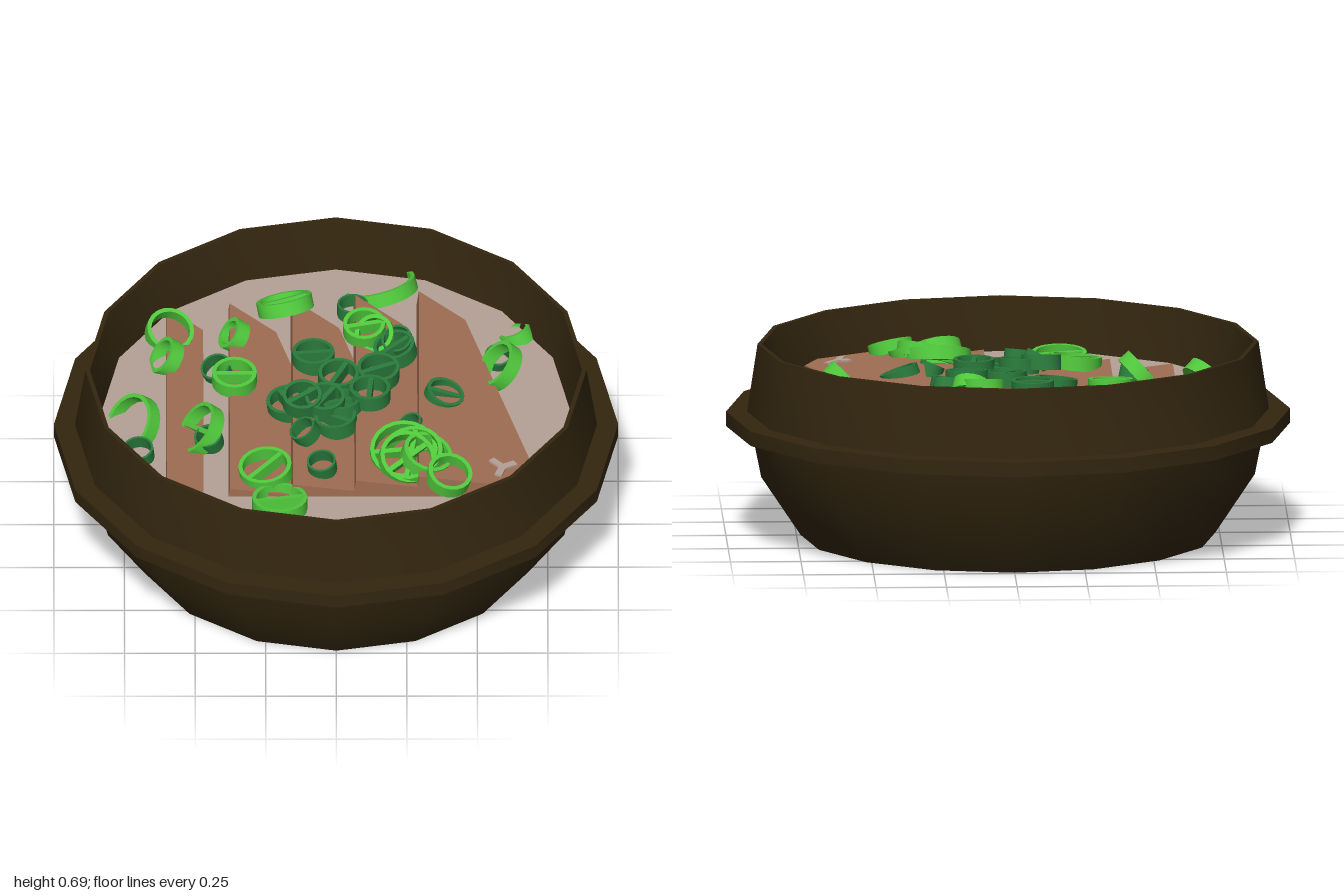
import * as THREE from 'three';
import { toCreasedNormals } from 'three/addons/utils/BufferGeometryUtils.js';

const mat = (name, color) => {
  const m = new THREE.MeshStandardMaterial({ color });
  m.name = name;
  return m;
};

const SOUP_Y = 0.5, SLICE_STEP = 0.2235, SLICE_X = -0.6, TILT = 0.13;
const sliceTop = (k) => 0.517 + 0.018 * k;

// height of the food surface below a garnish
function surface(x, z) {
  const k = Math.min(4, Math.floor((x - SLICE_X) / SLICE_STEP));
  if (k < 0 || Math.abs(z + 0.03) > 0.52) return SOUP_Y;
  const dx = x - SLICE_X - k * SLICE_STEP;
  if (dx > 0.34 + 0.28 * z) return SOUP_Y;
  return sliceTop(k) - dx * Math.tan(TILT);
}

export function createModel() {
  const model = new THREE.Group();
  const brown = mat('dark brown glaze', 0x33260f);
  const broth = mat('creamy broth', 0xb5a197);
  const meat = mat('roast meat', 0x9f6d52);
  const light = mat('light green', 0x50c83c);
  const dark = mat('dark green', 0x2a7a3c);

  const add = (parent, name, geo, material) => {
    const mesh = new THREE.Mesh(geo, material);
    mesh.name = name;
    parent.add(mesh);
    return mesh;
  };

  // bowl with a projecting flange, open at the top
  const profile = [[0, 0], [0.735, 0], [0.875, 0.21], [0.912, 0.395], [1, 0.395], [1, 0.447],
    [0.925, 0.447], [0.888, 0.69], [0.872, 0.69], [0.83, SOUP_Y - 0.01]]
    .map(([x, y]) => new THREE.Vector2(x, y));
  add(model, 'bowl', toCreasedNormals(new THREE.LatheGeometry(profile, 16), 0.65), brown);

  // soup surface
  const soup = add(model, 'soup', new THREE.CircleGeometry(0.833, 16), broth);
  soup.rotation.x = -Math.PI / 2;
  soup.position.y = SOUP_Y;

  // overlapping meat slices, each tilted onto the one before
  const outline = [[0, -0.59], [0.166, -0.45], [0.418, 0.4], [0.368, 0.49], [0, 0.49]];
  const sliceShape = new THREE.Shape(outline.map(([x, z]) => new THREE.Vector2(x, -z)));
  const sliceGeo = new THREE.ExtrudeGeometry(sliceShape, { depth: 0.065, bevelEnabled: false });
  sliceGeo.rotateX(-Math.PI / 2).translate(0, -0.065, 0);
  const slices = new THREE.Group();
  slices.name = 'meatSlices';
  model.add(slices);
  for (let k = 0; k < 5; k++) {
    const slice = add(slices, 'meatSlice', sliceGeo, meat);
    slice.position.set(SLICE_X + k * SLICE_STEP, sliceTop(k), 0);
    slice.rotation.z = -TILT;
  }

  // small three-armed fat fleck on the last slice
  const fleck = new THREE.Group();
  fleck.name = 'fatFleck';
  fleck.position.set(0.59, surface(0.59, 0.39) + 0.004, 0.39);
  fleck.rotation.z = -TILT;
  model.add(fleck);
  for (const a of [0.6, 2.4, 4.4]) {
    const arm = add(fleck, 'fleckArm', new THREE.BoxGeometry(0.055, 0.008, 0.025).translate(0.027, 0, 0), broth);
    arm.rotation.y = a;
  }

  // cut onion ring, with an optional strip across it
  const onions = new THREE.Group();
  onions.name = 'springOnions';
  model.add(onions);
  function ring(material, height, wall, [x, z, r, lift = 0, tiltX = 0, tiltZ = 0, bar = null]) {
    const g = new THREE.Group();
    g.name = 'onionRing';
    const s = new THREE.Shape().absarc(0, 0, r, 0, Math.PI * 2);
    s.holes.push(new THREE.Path().absarc(0, 0, r - wall, 0, Math.PI * 2, true));
    const geo = new THREE.ExtrudeGeometry(s, { depth: height, bevelEnabled: false, curveSegments: 10 });
    geo.rotateX(-Math.PI / 2).translate(0, -height / 2, 0);
    add(g, 'ringWall', toCreasedNormals(geo, 0.7), material);
    if (bar !== null) {
      const strip = add(g, 'ringStrip', new THREE.BoxGeometry(2 * r - wall, height * 0.9, 0.018), material);
      strip.rotation.y = bar;
    }
    g.position.set(x, surface(x, z) + height / 2 + lift, z);
    g.rotation.set(tiltX, 0, tiltZ);
    onions.add(g);
  }

  // light rings: x, z, radius, lift, tilt about x, tilt about z, strip angle
  [
    [-0.18, -0.57, 0.1, 0.02, -0.45, 0.2, 0.3],
    [-0.36, -0.13, 0.08, 0, 0.1, 0, 0],
    [-0.48, 0.15, 0.1, 0.01, 0.2, 0.85, -0.8],
    [-0.25, 0.39, 0.095, 0, 0.1, 0.1, 0.8],
    [-0.2, 0.56, 0.098, 0, -0.1, 0, 0.2],
    [0.1, -0.36, 0.075, 0.01, 0.2, 0, 0.2],
    [0.14, -0.34, 0.07, 0, 0.7, 0.2],
    [0.58, -0.17, 0.09, 0, 0.2, 0.8],
    [0.4, 0.47, 0.08, -0.02, 0.3, -0.2],
    [0.24, 0.33, 0.12, 0, 0.35, 0, 0.1],
    [0.27, 0.36, 0.115, 0.01, 0.3, 0.2, 1.4],
    [0.25, 0.38, 0.1, 0.01, 0.5, -0.2, 0.7],
    [0.32, 0.37, 0.09, -0.02, 0.2, -0.3],
    [0.16, -0.72, 0.13, -0.03, -0.35, 0.25],
    [-0.59, -0.44, 0.085, -0.02, 0.45, -0.2],
    [-0.6, -0.28, 0.07, -0.01, 0.2, 0.9],
    [-0.36, -0.4, 0.06, -0.02, 0.2, 0.9],
    [0.64, -0.45, 0.06, -0.03, -0.3, 0.4],
    [-0.72, 0.09, 0.11, -0.01, 0.5, 0.75],
  ].forEach((p) => ring(light, 0.05, 0.015, p));

  // dark rings with strips, heaped in the middle
  [
    [-0.08, -0.23, 0.075, 0, 0, 0, 0.1],
    [0.21, -0.26, 0.075, 0, 0.1, 0.2, 0.6],
    [0.01, -0.1, 0.073, 0.02, 0.1, 0, 1.1],
    [0.15, -0.12, 0.075, 0, 0.1, 0, 0.4],
    [0.12, 0.02, 0.073, 0.01, 0, 0, 1.5],
    [-0.17, 0, 0.075, 0, 0.1, 0.1, -1.1],
    [-0.12, 0.06, 0.07, 0.03, 0.2, 0, 0.6],
    [0, 0.13, 0.075, 0, 0, 0.1, -0.6],
    [-0.04, 0.06, 0.072, 0.03, 0.1, 0, 1],
    [0.02, 0.06, 0.07, 0.02, -0.1, 0.1, 0.2],
    [0.38, 0, 0.07, -0.035, 0.1, -0.35, 0],
  ].forEach((p) => ring(dark, 0.055, 0.013, p));

  // small plain dark rings
  [
    [0.06, -0.57, 0.055], [-0.42, -0.21, 0.055, 0.01, 0.3, 0.3], [0.575, -0.28, 0.048, 0, 0.3, 0],
    [-0.7, 0.265, 0.055, 0, 0.2, 0.1], [-0.11, 0.22, 0.05, 0.01, 0.2, 0.5], [-0.05, 0.39, 0.052, 0, 0.2, 0.1],
    [0.27, 0.16, 0.045, -0.01, 0.2, 0.4], [-0.45, 0.2, 0.05, 0.01, 0.3, 0.2], [0.22, -0.3, 0.055, 0.01, 0.4, 0.2],
  ].forEach((p) => ring(dark, 0.05, 0.008, p));

  return model;
}
